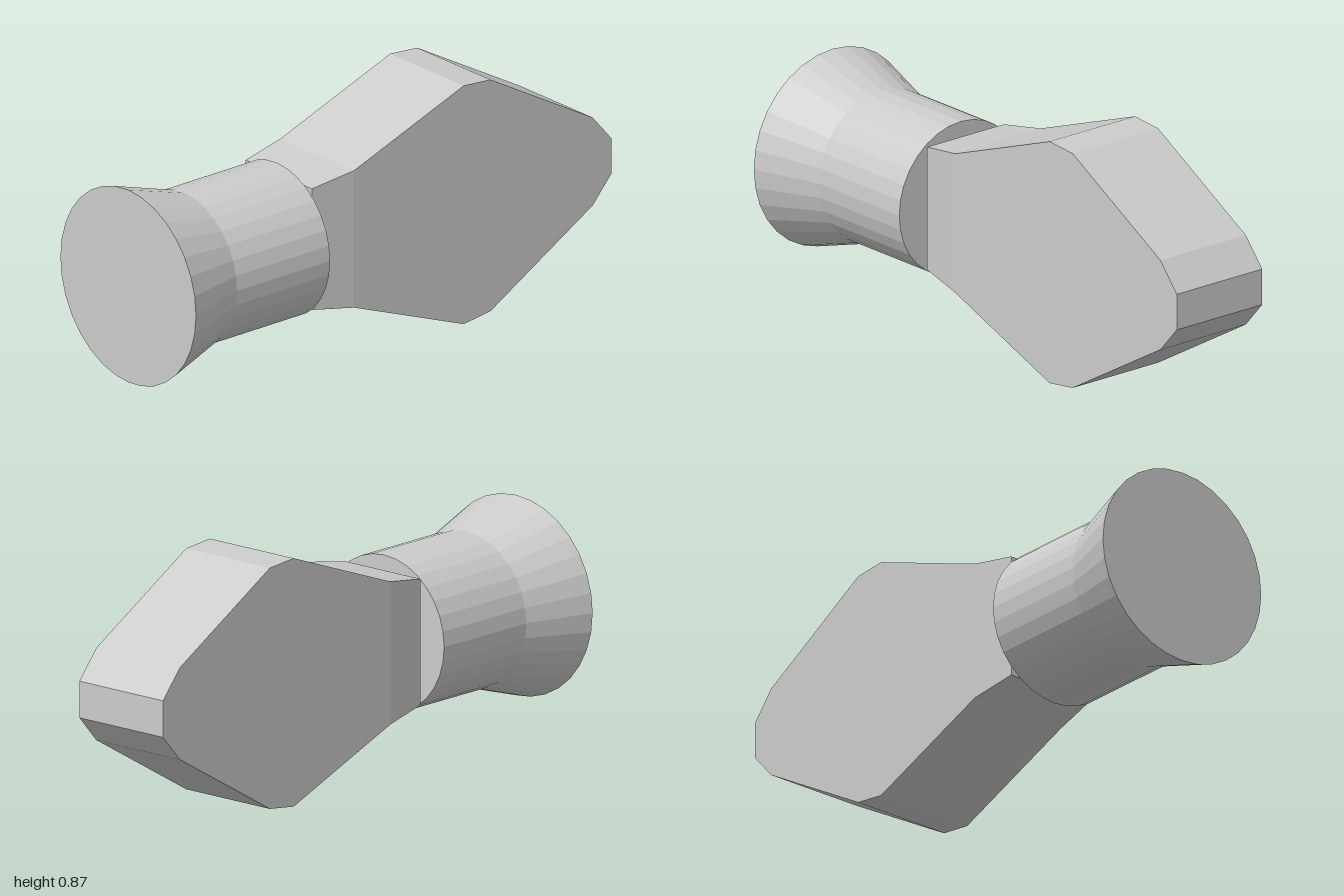
import * as THREE from 'three';

const material = new THREE.MeshStandardMaterial({ color: 0xcccccc, flatShading: true });

// Skin rectangular cross-sections [x, yLow, yHigh, zBack, zFront] and cap both ends
function loft(sections) {
  const positions = [];
  const index = [];
  for (const [x, lo, hi, back, front] of sections) {
    positions.push(x, hi, back, x, hi, front, x, lo, front, x, lo, back);
  }
  const last = (sections.length - 1) * 4;
  for (let i = 0; i < last; i += 4) {
    for (let j = 0; j < 4; j++) {
      const a = i + j, b = i + (j + 1) % 4;
      index.push(a, b, b + 4, a, b + 4, a + 4);
    }
  }
  index.push(0, 2, 1, 0, 3, 2);
  index.push(last, last + 1, last + 2, last, last + 2, last + 3);
  const indexed = new THREE.BufferGeometry();
  indexed.setAttribute('position', new THREE.Float32BufferAttribute(positions, 3));
  indexed.setIndex(index);
  const geometry = indexed.toNonIndexed();
  geometry.computeVertexNormals();
  return geometry;
}

export function createModel() {
  const group = new THREE.Group();

  // Round handle with a flared, closed end, turned to lie along x
  const profile = [[0, -1], [0.351, -1], [0.274, -0.75], [0.274, -0.335], [0, -0.335]]
    .map(([r, t]) => new THREE.Vector2(r, t));
  const handleGeometry = new THREE.LatheGeometry(profile, 32).rotateZ(-Math.PI / 2).toNonIndexed();
  handleGeometry.computeVertexNormals();
  const handle = new THREE.Mesh(handleGeometry, material);
  handle.name = 'flaredHandle';
  handle.position.y = 0.437;
  group.add(handle);

  // Thick slab head: narrow neck, wide middle, blunt tip
  const back = -0.197, front = 0.184;
  const head = new THREE.Mesh(loft([
    [-0.32, 0.22, 0.662, -0.18, 0.163],
    [-0.15, 0.19, 0.69, back, front],
    [0.34, 0, 0.87, back, front],
    [0.46, 0.016, 0.86, back, front],
    [0.915, 0.28, 0.602, back, front],
    [1, 0.375, 0.503, back, front],
  ]), material);
  head.name = 'head';
  group.add(head);

  return group;
}
